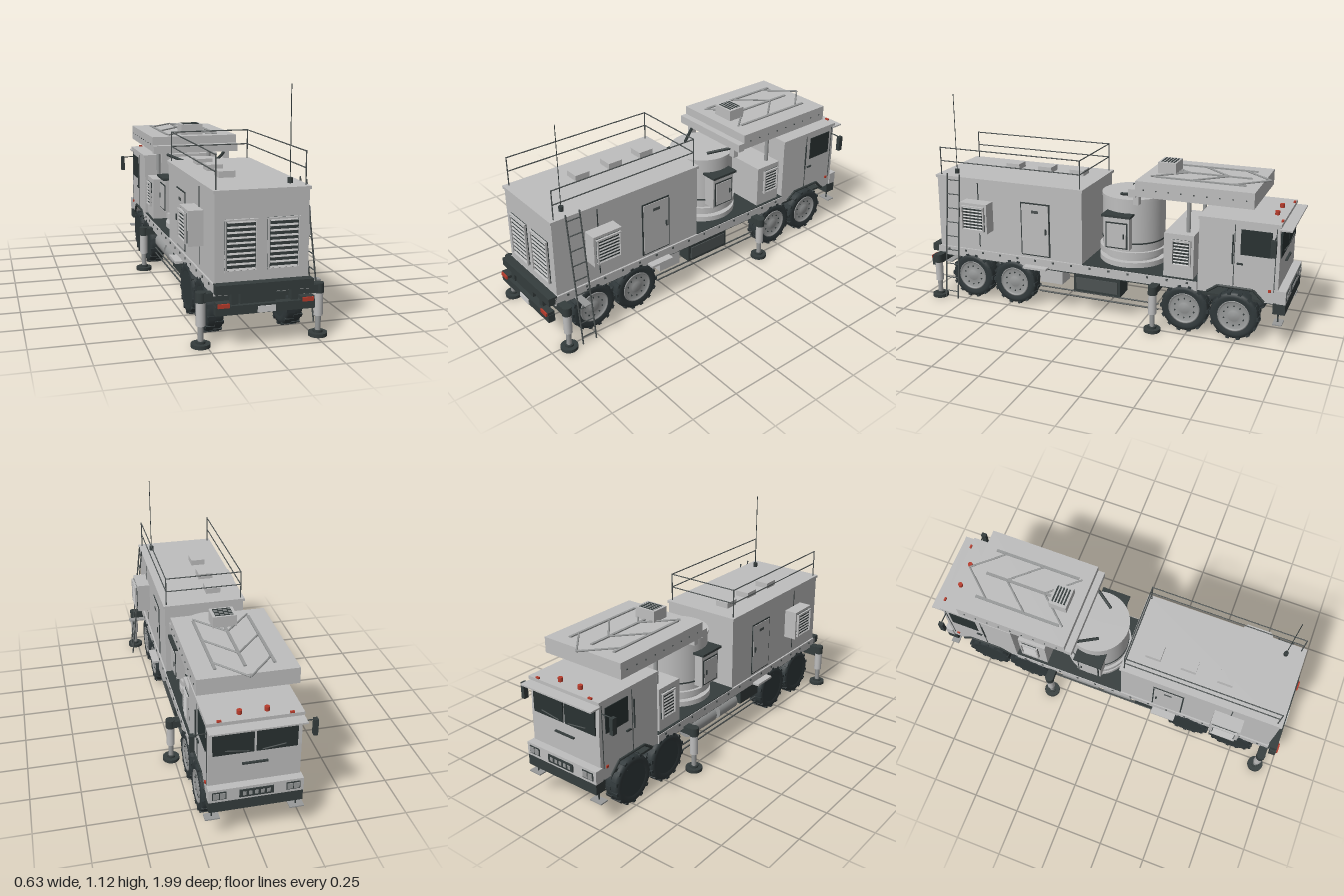
import * as THREE from 'three';

const mat = (name, color) => {
  const m = new THREE.MeshStandardMaterial({ color });
  m.name = name;
  return m;
};

export function createModel() {
  const paint = mat('light grey paint', 0xbebebe);
  const dark = mat('dark chassis', 0x353d3d);
  const rubber = mat('tyre rubber', 0x30383a);
  const steel = mat('grey steel', 0x989a9a);
  const rail = mat('rail grey', 0x4c5252);
  const glass = mat('dark glass', 0x293232);
  const red = mat('red lamp', 0xb83c2c);
  const pale = mat('pale plate', 0xcfcfcf);

  const root = new THREE.Group();
  root.name = 'radarTruck';
  const truck = new THREE.Group();
  truck.name = 'truck';
  truck.position.x = -0.005;
  root.add(truck);

  const V = (x, y, z) => new THREE.Vector3(x, y, z);
  const add = (name, geo, m, parent = truck) => {
    const mesh = new THREE.Mesh(geo, m);
    mesh.name = name;
    parent.add(mesh);
    return mesh;
  };
  // box from opposite corners
  const box = (name, m, x0, x1, y0, y1, z0, z1, parent) => {
    const b = add(name, new THREE.BoxGeometry(Math.abs(x1 - x0), Math.abs(y1 - y0), Math.abs(z1 - z0)), m, parent);
    b.position.set((x0 + x1) / 2, (y0 + y1) / 2, (z0 + z1) / 2);
    return b;
  };
  // round bar between two points
  const bar = (name, m, r, a, b, seg = 8, parent) => {
    const c = add(name, new THREE.CylinderGeometry(r, r, a.distanceTo(b), seg), m, parent);
    c.position.copy(a).add(b).multiplyScalar(0.5);
    c.quaternion.setFromUnitVectors(V(0, 1, 0), b.clone().sub(a).normalize());
    return c;
  };
  // louvre panel facing +z, centred on its origin
  const louvre = (name, w, h, n, x, y, z, turn = 0) => {
    const g = new THREE.Group();
    g.name = name;
    box('louvreBack', dark, -w / 2, w / 2, -h / 2, h / 2, 0, 0.004, g);
    for (const s of [-1, 1]) {
      box('louvreFrame', paint, s * w / 2, s * (w / 2 - 0.007), -h / 2, h / 2, 0, 0.014, g);
      box('louvreFrame', paint, -w / 2, w / 2, s * h / 2, s * (h / 2 - 0.007), 0, 0.014, g);
    }
    for (let i = 0; i < n; i++) {
      const slat = add('slat', new THREE.BoxGeometry(w - 0.022, h / n * 0.4, 0.003), paint, g);
      slat.position.set(0, -h / 2 + (i + 0.5) * h / n, 0.009);
      slat.rotation.x = -0.5;
    }
    g.position.set(x, y, z);
    g.rotation.y = turn;
    truck.add(g);
  };
  const sides = [-1, 1];

  // chassis
  box('deck', paint, -0.222, 0.222, 0.23, 0.279, -0.545, 0.94);
  box('deckTread', dark, -0.218, 0.218, 0.279, 0.283, -0.545, 0.075);
  box('deckUnderside', dark, -0.215, 0.215, 0.222, 0.23, -0.545, 0.94);
  box('chassisCore', dark, -0.1, 0.1, 0.195, 0.23, -0.93, 0.95);
  box('rearDeckEdge', dark, -0.222, 0.222, 0.243, 0.284, 0.93, 0.975);
  box('rearBumper', dark, -0.225, 0.225, 0.155, 0.195, 0.95, 0.985);
  box('rearCrossBox', dark, -0.11, 0.05, 0.19, 0.245, 0.9, 0.965);
  box('numberPlate', pale, -0.038, 0.042, 0.158, 0.186, 0.985, 0.99);
  for (const s of sides) {
    box('tailLampHousing', dark, s * 0.16, s * 0.222, 0.188, 0.21, 0.95, 0.985);
    box('tailLamp', red, s * 0.165, s * 0.216, 0.19, 0.208, 0.985, 0.993);
    box('bumperBracket', dark, s * 0.12, s * 0.15, 0.19, 0.245, 0.93, 0.97);
    box('doorStep', paint, s * 0.21, s * 0.26, 0.228, 0.24, 0.267, 0.4);
    for (let i = 0; i < 14; i++) box('deckLashing', rail, s * 0.222, s * 0.226, 0.262, 0.272, -0.5 + i * 0.105, -0.49 + i * 0.105);
    for (const y of [0.09, 0.12]) bar('sideGuardRail', rail, 0.004, V(s * 0.2, y, -0.34), V(s * 0.2, y, 0.33));
  }
  box('toolBox', paint, 0.12, 0.215, 0.15, 0.225, 0.19, 0.32);
  box('batteryBox', dark, 0.1, 0.21, 0.125, 0.225, -0.135, 0.125);
  box('batteryBoxLid', rail, 0.21, 0.215, 0.14, 0.205, -0.12, 0.11);
  box('fuelBox', dark, -0.215, -0.1, 0.15, 0.225, 0.16, 0.33);
  bar('airTank', steel, 0.045, V(-0.17, 0.175, -0.28), V(-0.17, 0.175, -0.06), 20);
  bar('airTank', steel, 0.045, V(-0.17, 0.175, -0.03), V(-0.17, 0.175, 0.13), 20);
  for (const z of [-0.16, 0.0]) bar('exhaustPipe', steel, 0.016, V(-0.15, 0.17, z), V(0.06, 0.17, z), 12);

  // wheels: tyre with lugs, rim on the +x face, closed back
  const P = (list) => list.map(([x, y]) => new THREE.Vector2(x, y));
  const tyreGeo = new THREE.LatheGeometry(P([[0.08, -0.036], [0.1, -0.041], [0.117, -0.037], [0.122, -0.026], [0.122, 0.026], [0.117, 0.037], [0.1, 0.041], [0.08, 0.036]]), 32);
  const rimGeo = new THREE.LatheGeometry(P([[0.081, 0.03], [0.081, 0.039], [0.074, 0.039], [0.07, 0.031], [0.032, 0.029], [0.028, 0.037], [0, 0.038]]), 28);
  const lugGeo = new THREE.BoxGeometry(0.012, 0.04, 0.018);
  const boltGeo = new THREE.CylinderGeometry(0.004, 0.004, 0.008, 6);
  for (const z of [0.73, 0.472, -0.483, -0.736]) {
    bar('axle', dark, 0.022, V(-0.16, 0.128, z), V(0.16, 0.128, z), 12);
    for (const s of sides) {
      const w = new THREE.Group();
      w.name = 'wheel';
      add('tyre', tyreGeo, rubber, w);
      add('rim', rimGeo, steel, w);
      add('wheelBack', new THREE.CylinderGeometry(0.084, 0.084, 0.02, 28), rubber, w).position.y = -0.027;
      for (let i = 0; i < 28; i++) {
        const a = i / 28 * Math.PI * 2;
        const lug = add('lug', lugGeo, rubber, w);
        lug.position.set(Math.cos(a) * 0.119, i % 2 ? 0.019 : -0.019, -Math.sin(a) * 0.119);
        lug.rotation.y = a;
      }
      for (let i = 0; i < 10; i++) {
        const a = i / 10 * Math.PI * 2;
        add('wheelBolt', boltGeo, dark, w).position.set(Math.cos(a) * 0.052, 0.031, Math.sin(a) * 0.052);
      }
      w.rotation.z = -Math.PI / 2;
      w.position.set(s * 0.185, 0.127, z);
      truck.add(w);
    }
  }

  // stabiliser jacks
  for (const z of [0.912, -0.332]) {
    box('jackBeam', dark, -0.27, 0.27, 0.205, 0.242, z - 0.022, z + 0.022);
    for (const s of sides) {
      const x = s * 0.271;
      bar('jackHead', dark, 0.024, V(x, 0.2, z), V(x, 0.245, z), 16);
      bar('jackSleeve', paint, 0.021, V(x, 0.095, z), V(x, 0.205, z), 16);
      bar('jackRod', steel, 0.013, V(x, 0.02, z), V(x, 0.095, z), 12);
      bar('jackFoot', dark, 0.043, V(x, 0, z), V(x, 0.017, z), 20);
      bar('jackSocket', dark, 0.022, V(x, 0.017, z), V(x, 0.027, z), 16);
    }
  }

  // equipment container
  box('containerBody', paint, -0.214, 0.214, 0.28, 0.674, 0.075, 0.925);
  box('containerRoof', paint, -0.221, 0.221, 0.67, 0.684, 0.068, 0.932);
  for (const s of sides) {
    louvre('rearLouvre', 0.148, 0.23, 10, s * 0.097, 0.442, 0.925);
    box('doorSeal', dark, s * 0.214, s * 0.218, 0.292, 0.584, 0.257, 0.425);
    box('sideDoor', paint, s * 0.214, s * 0.221, 0.299, 0.577, 0.264, 0.418);
    box('doorHandle', dark, s * 0.221, s * 0.227, 0.42, 0.45, 0.275, 0.283);
    box('doorNotice', rail, s * 0.221, s * 0.223, 0.53, 0.545, 0.32, 0.36);
    box('panelSeam', dark, s * 0.214, s * 0.216, 0.3, 0.66, 0.677, 0.682);
    box('airConditioner', paint, s * 0.214, s * 0.285, 0.403, 0.565, 0.593, 0.752);
    louvre('airConditionerGrille', 0.135, 0.135, 8, s * 0.285, 0.484, 0.672, s * Math.PI / 2);
    for (const y of [0.76, 0.833]) bar('sideRail', rail, 0.003, V(s * 0.203, y, 0.09), V(s * 0.203, y, 0.905));
    for (const z of [0.09, 0.905]) bar('railPost', rail, 0.003, V(s * 0.203, 0.68, z), V(s * 0.203, 0.836, z));
  }
  for (const y of [0.76, 0.833]) bar('endRail', rail, 0.003, V(-0.203, y, 0.09), V(0.203, y, 0.09));
  for (const z of [0.21, 0.4, 0.595]) box('roofHatch', paint, -0.11, -0.032, 0.684, 0.714, z - 0.04, z + 0.04);
  bar('antennaBase', dark, 0.012, V(0.157, 0.684, 0.835), V(0.157, 0.708, 0.835), 12);
  bar('antennaWhip', dark, 0.002, V(0.157, 0.7, 0.835), V(0.157, 1.117, 0.835), 6);

  // leaning ladder
  for (const z of [0.78, 0.855]) bar('ladderStile', rail, 0.004, V(0.226, 0.7, z), V(0.306, 0.015, z));
  for (let i = 0; i < 9; i++) {
    const t = 0.05 + i * 0.112;
    const x = 0.226 + 0.08 * t, y = 0.7 - 0.685 * t;
    bar('ladderRung', rail, 0.003, V(x, y, 0.78), V(x, y, 0.855));
  }
  box('ladderBracket', steel, 0.21, 0.314, 0.228, 0.234, 0.8, 0.835);

  // rotating drum
  const zc = -0.135;
  const drum = (name, m, r, y0, y1) => bar(name, m, r, V(0, y0, zc), V(0, y1, zc), 48);
  drum('turntable', paint, 0.18, 0.283, 0.31);
  drum('drumPedestal', paint, 0.15, 0.31, 0.345);
  drum('drumFlange', paint, 0.18, 0.335, 0.365);
  drum('drumBody', paint, 0.165, 0.36, 0.642);
  drum('drumBand', dark, 0.168, 0.405, 0.412);
  drum('drumTopRim', paint, 0.169, 0.63, 0.646);
  for (const s of sides) {
    box('drumCabinet', paint, s * 0.1, s * 0.205, 0.385, 0.56, -0.18, -0.045);
    box('cabinetDoorSeal', dark, s * 0.205, s * 0.208, 0.393, 0.532, -0.172, -0.054);
    box('cabinetDoor', paint, s * 0.205, s * 0.211, 0.4, 0.525, -0.165, -0.061);
    box('cabinetHandle', dark, s * 0.211, s * 0.215, 0.45, 0.475, -0.155, -0.148);
    box('cabinetCanopy', dark, s * 0.1, s * 0.22, 0.56, 0.572, -0.19, -0.035);
    bar('liftStrut', dark, 0.008, V(s * 0.09, 0.65, -0.095), V(s * 0.16, 0.675, -0.2));
    box('hingeBracket', paint, s * 0.155, s * 0.19, 0.63, 0.705, -0.225, -0.195);
    bar('panelSupport', steel, 0.011, V(s * 0.15, 0.5, -0.475), V(s * 0.15, 0.7, -0.475), 12);
  }

  // folded radar panel with ribs on both faces
  box('radarPanel', paint, -0.238, 0.238, 0.69, 0.77, -0.815, -0.222);
  for (let i = 0; i < 7; i++) box('undersideRib', dark, -0.2, 0.2, 0.683, 0.69, -0.775 + i * 0.08, -0.745 + i * 0.08);
  box('panelHinge', paint, -0.238, 0.238, 0.683, 0.725, -0.222, -0.185);
  for (let i = 0; i < 3; i++) {
    const x = (i - 1) * 0.138, z = -0.845 + i * 0.21;
    box('panelRib', steel, x - 0.007, x + 0.007, 0.77, 0.776, -0.75, -0.29);
    for (const s of sides) bar('chevronRib', steel, 0.005, V(0, 0.773, z), V(s * 0.138, 0.773, z + 0.155), 6);
  }
  for (const s of sides)
    for (let i = 0; i < 9; i++) box('panelBolt', rail, s * 0.238, s * 0.242, 0.725, 0.731, -0.78 + i * 0.064, -0.774 + i * 0.064);
  box('panelBlower', paint, -0.06, 0.06, 0.77, 0.828, -0.375, -0.28);
  for (let i = 0; i < 5; i++) box('blowerSlot', dark, -0.045, 0.045, 0.828, 0.83, -0.364 + i * 0.016, -0.356 + i * 0.016);

  // generator behind the cab
  box('generatorBox', paint, -0.205, 0.205, 0.28, 0.51, -0.52, -0.365);
  for (const s of sides) louvre('generatorGrille', 0.1, 0.135, 8, s * 0.205, 0.415, -0.457, s * Math.PI / 2);

  // cab shell from its side profile, with wheel arches
  const shape = new THREE.Shape(P([[-0.547, 0.61], [-0.547, 0.235], [-0.595, 0.235], [-0.65, 0.275], [-0.825, 0.275], [-0.88, 0.22], [-0.945, 0.22], [-0.945, 0.46], [-0.938, 0.61]]));
  const cabGeo = new THREE.ExtrudeGeometry(shape, { depth: 0.43, bevelEnabled: false });
  cabGeo.translate(0, 0, -0.215).rotateY(-Math.PI / 2);
  add('cabShell', cabGeo, paint);
  box('cabFloor', dark, -0.2, 0.2, 0.21, 0.222, -0.94, -0.545);
  box('cabRoof', paint, -0.222, 0.222, 0.608, 0.624, -0.945, -0.543);
  box('sunVisor', paint, -0.222, 0.222, 0.594, 0.602, -0.997, -0.935);
  box('frontBumper', paint, -0.222, 0.222, 0.225, 0.292, -0.985, -0.94);
  box('lowerBumper', dark, -0.22, 0.22, 0.17, 0.225, -0.985, -0.925);
  box('bumperGrille', dark, -0.08, 0.08, 0.238, 0.278, -0.99, -0.984);
  for (let i = 0; i < 5; i++) box('grilleBar', steel, -0.064 + i * 0.028, -0.048 + i * 0.028, 0.248, 0.268, -0.992, -0.989);
  box('frontGrab', dark, -0.06, 0.06, 0.39, 0.397, -0.956, -0.944);
  for (const s of sides) {
    box('windscreen', glass, s * 0.006, s * 0.195, 0.452, 0.578, -0.95, -0.94);
    bar('wiper', rail, 0.003, V(s * 0.03, 0.46, -0.953), V(s * 0.14, 0.475, -0.953), 6);
    box('headlampSurround', dark, s * 0.14, s * 0.205, 0.24, 0.28, -0.988, -0.984);
    for (const x of [0.157, 0.188]) box('headlamp', steel, s * (x - 0.013), s * (x + 0.013), 0.245, 0.275, -0.991, -0.987);
    box('sideWindow', glass, s * 0.215, s * 0.219, 0.452, 0.58, -0.905, -0.755);
    for (const z of [-0.725, -0.925]) box('doorSeam', rail, s * 0.215, s * 0.217, 0.28, 0.6, z - 0.002, z + 0.002);
    bar('cabGrabRail', dark, 0.004, V(s * 0.222, 0.4, -0.718), V(s * 0.222, 0.55, -0.718));
    box('cabDoorHandle', dark, s * 0.215, s * 0.223, 0.4, 0.408, -0.77, -0.74);
    box('sideMarker', red, s * 0.215, s * 0.222, 0.278, 0.29, -0.912, -0.898);
    // arch trim
    const arch = [[-0.595, 0.237], [-0.65, 0.276], [-0.825, 0.276], [-0.88, 0.222]];
    for (let i = 0; i < 3; i++)
      bar('archTrim', dark, 0.007, V(s * 0.216, arch[i][1], arch[i][0]), V(s * 0.216, arch[i + 1][1], arch[i + 1][0]));
    bar('mirrorArm', dark, 0.003, V(s * 0.21, 0.562, -0.925), V(s * 0.285, 0.562, -0.925));
    box('mirror', dark, s * 0.272, s * 0.292, 0.482, 0.565, -0.938, -0.912);
    box('frontStep', steel, s * 0.165, s * 0.235, 0.118, 0.124, -0.975, -0.93);
    bar('stepHanger', dark, 0.004, V(s * 0.2, 0.12, -0.95), V(s * 0.2, 0.18, -0.95));
    bar('roofBeacon', red, 0.012, V(s * 0.063, 0.624, -0.895), V(s * 0.063, 0.644, -0.895), 16);
    box('roofMarker', red, s * 0.155, s * 0.175, 0.624, 0.632, -0.944, -0.934);
  }
  return root;
}
